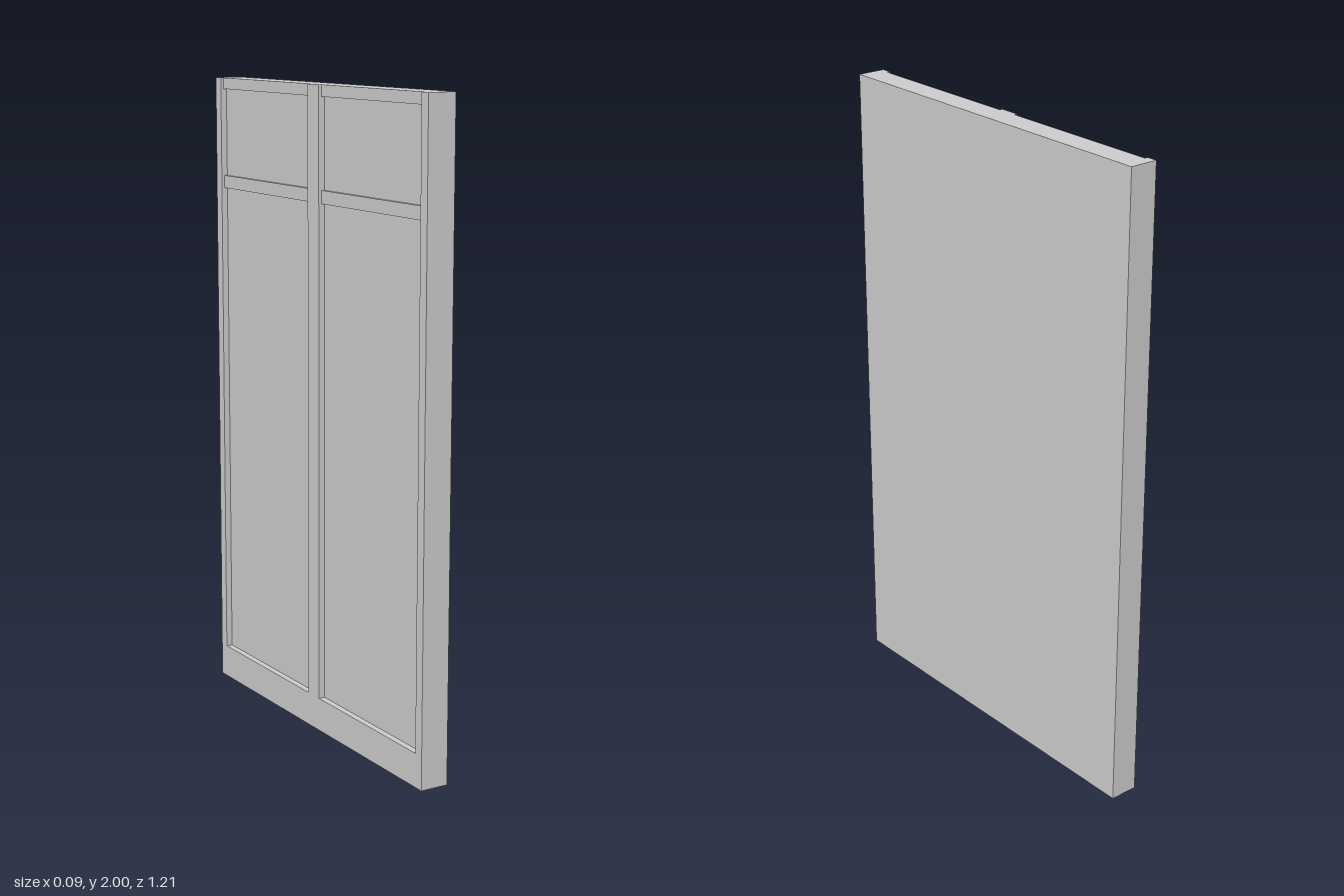
import * as THREE from 'three';

const material = new THREE.MeshStandardMaterial({ color: 0xcccccc, flatShading: true });

// Box given by its limits on each axis
function slab(name, [x0, x1], [y0, y1], [z0, z1]) {
  const mesh = new THREE.Mesh(new THREE.BoxGeometry(x1 - x0, y1 - y0, z1 - z0), material);
  mesh.name = name;
  mesh.position.set((x0 + x1) / 2, (y0 + y1) / 2, (z0 + z1) / 2);
  return mesh;
}

export function createModel() {
  const model = new THREE.Group();
  model.name = 'panelledDoor';

  const half = 0.605, inner = 0.572, mid = 0.032, baseTop = 0.105;
  const face = -0.045, railFace = -0.035, panelFace = -0.025;

  // Solid board whose exposed surface forms the sunken panels
  model.add(slab('board', [panelFace, 0.045], [0, 2], [-half, half]));

  // Proud frame: bottom rail, centre stile and two outer stiles
  model.add(slab('bottomRail', [face, panelFace], [0, baseTop], [-half, half]));
  model.add(slab('centreStile', [face, panelFace], [baseTop, 2], [-mid, mid]));

  for (const side of [-1, 1]) {
    const span = (a, b) => [side * a, side * b].sort((p, q) => p - q);
    model.add(slab('outerStile', [face, panelFace], [baseTop, 2], span(inner, half)));
    // Rails set back from the stiles
    model.add(slab('topRail', [railFace, panelFace], [1.965, 2], span(mid, inner)));
    model.add(slab('crossRail', [railFace, panelFace], [1.65, 1.69], span(mid, inner)));
  }
  return model;
}
